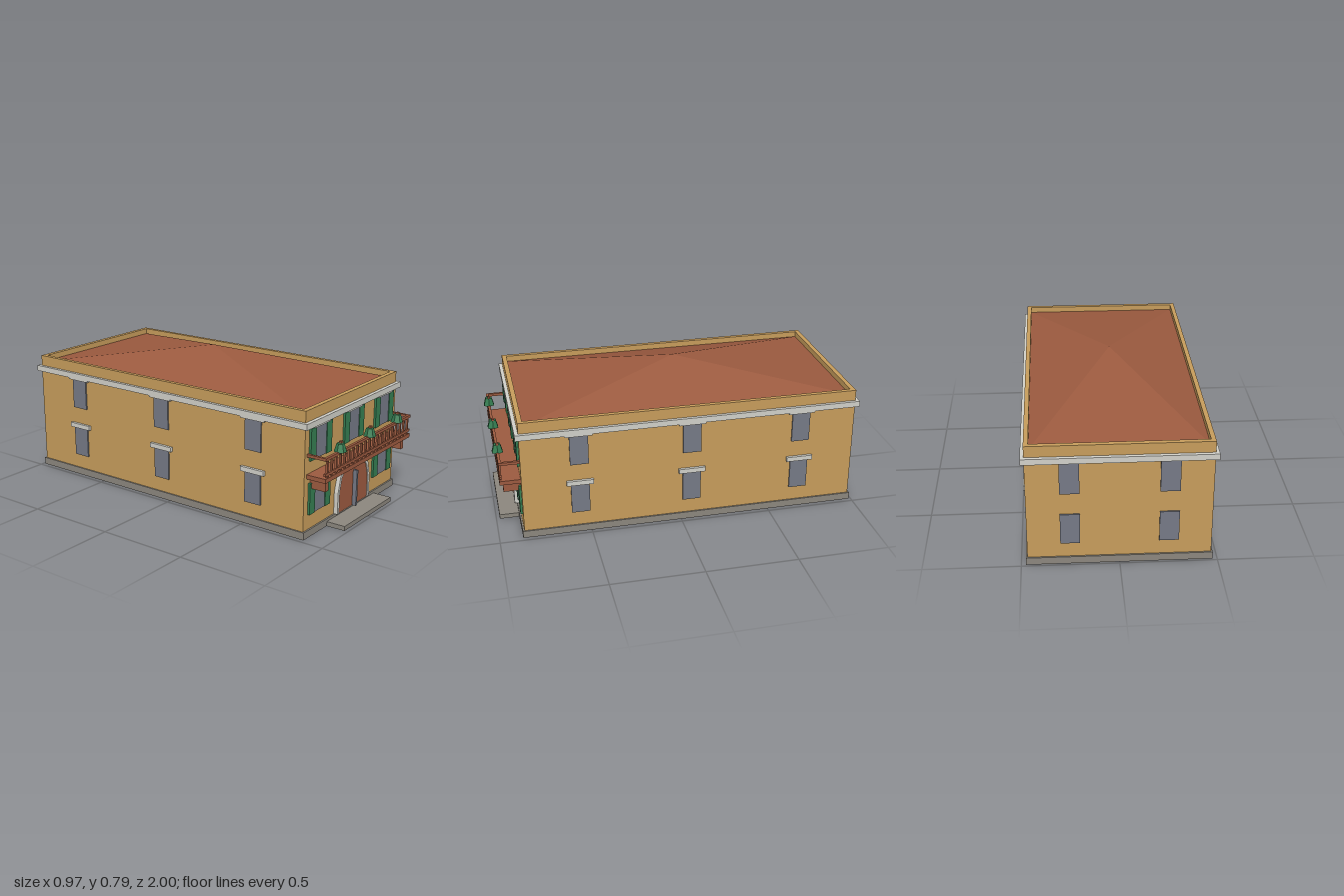
import * as THREE from 'three';

const mat = (name, color) => {
  const m = new THREE.MeshStandardMaterial({ color });
  m.name = name;
  return m;
};

export function createModel() {
  const wall = mat('ochre wall', 0xc69c5b);
  const tile = mat('terracotta', 0x9b5a3f);
  const trim = mat('pale trim', 0xd0cfc8);
  const stone = mat('grey stone', 0x8b867d);
  const glass = mat('grey glass', 0x757985);
  const green = mat('green', 0x357e52);

  const house = new THREE.Group();
  house.name = 'house';
  const MID = -0.0575;            // centre of the main block along z
  const HX = 0.468, HZ = 0.9225;  // half sizes of the main block
  const FRONT = MID + HZ, BACK = MID - HZ;

  const add = (name, geo, material, parent = house) => {
    const mesh = new THREE.Mesh(geo, material);
    mesh.name = name;
    parent.add(mesh);
    return mesh;
  };
  // Box given by its limits on each axis
  const box = (name, m, x0, x1, y0, y1, z0, z1, parent) => {
    const mesh = add(name, new THREE.BoxGeometry(x1 - x0, y1 - y0, z1 - z0), m, parent);
    mesh.position.set((x0 + x1) / 2, (y0 + y1) / 2, (z0 + z1) / 2);
    return mesh;
  };
  // Rectangular ring lying flat around the block
  const rectPath = (P, hx, hz) => {
    const p = new P();
    p.moveTo(-hx, -hz).lineTo(hx, -hz).lineTo(hx, hz).lineTo(-hx, hz).closePath();
    return p;
  };
  const ring = (name, m, hx, hz, ix, iz, y0, y1) => {
    const shape = rectPath(THREE.Shape, hx, hz);
    shape.holes.push(rectPath(THREE.Path, ix, iz));
    const geo = new THREE.ExtrudeGeometry(shape, { depth: y1 - y0, bevelEnabled: false });
    geo.rotateX(-Math.PI / 2).translate(0, y0, MID);
    return add(name, geo, m);
  };

  // Main block, plinth, cornice and parapet
  box('plinth', stone, -HX - 0.008, HX + 0.008, 0, 0.04, BACK - 0.009, FRONT + 0.009);
  box('walls', wall, -HX, HX, 0.04, 0.62, BACK, FRONT);
  ring('cornice', trim, HX + 0.018, HZ + 0.02, HX - 0.01, HZ - 0.01, 0.588, 0.62);
  ring('parapet', wall, HX, HZ, HX - 0.024, HZ - 0.026, 0.62, 0.68);

  // Low four-sided roof inside the parapet
  const roofGeo = new THREE.ConeGeometry(Math.SQRT2, 0.142, 4, 1, true).toNonIndexed();
  roofGeo.rotateY(Math.PI / 4).scale(HX - 0.024, 1, HZ - 0.026);
  roofGeo.translate(0, 0.648 + 0.071, MID);
  roofGeo.computeVertexNormals();
  add('roof', roofGeo, tile);

  // Windows are built facing +z, then turned onto their wall
  const makeWindow = (x, y, z, turn, { shutters = false, lintel = true }) => {
    const g = new THREE.Group();
    g.name = 'window';
    box('pane', glass, -0.05, 0.05, 0, 0.17, -0.004, 0.008, g);
    if (lintel) box('lintel', trim, -0.073, 0.073, 0.168, 0.194, -0.004, 0.016, g);
    if (shutters) {
      for (const s of [-1, 1]) {
        box('shutter', green, s * 0.075 - 0.025, s * 0.075 + 0.025, 0, 0.17, -0.004, 0.012, g);
      }
    }
    g.position.set(x, y, z);
    g.rotation.y = turn;
    house.add(g);
  };
  for (const y of [0.122, 0.411]) {
    for (const x of [-0.329, 0, 0.329]) {
      if (x !== 0 || y > 0.3) makeWindow(x, y, FRONT, 0, { shutters: true });
    }
    for (const z of [0.555, MID, -0.67]) {
      makeWindow(HX, y, z, Math.PI / 2, {});
      makeWindow(-HX, y, z, -Math.PI / 2, {});
    }
    for (const x of [-0.25, 0.25]) makeWindow(x, y, BACK, Math.PI, { lintel: false });
  }

  // Arched doorway with six straight segments
  const arch = (P, r) => {
    const p = new P();
    p.moveTo(-r, 0.04).lineTo(r, 0.04);
    for (let i = 0; i <= 6; i++) {
      const a = (i * Math.PI) / 6;
      p.lineTo(r * Math.cos(a), 0.16 + r * Math.sin(a));
    }
    p.closePath();
    return p;
  };
  const frame = arch(THREE.Shape, 0.168);
  frame.holes.push(arch(THREE.Path, 0.15));
  const extrude = (s, depth) => new THREE.ExtrudeGeometry(s, { depth, bevelEnabled: false });
  add('doorFrame', extrude(frame, 0.025), trim).position.z = FRONT - 0.002;
  add('door', extrude(arch(THREE.Shape, 0.15), 0.02), tile).position.z = FRONT - 0.002;
  box('doorBar', glass, -0.007, 0.007, 0.04, 0.242, FRONT, 0.906);
  box('doorStep', stone, -0.25, 0.25, 0, 0.025, FRONT - 0.01, 0.981);

  // Balcony with railing and brackets
  const balcony = new THREE.Group();
  balcony.name = 'balcony';
  house.add(balcony);
  const BX = 0.448, BZ = 0.976;
  box('balconyFloor', tile, -BX, BX, 0.321, 0.344, FRONT, BZ, balcony);
  box('topRail', tile, -BX, BX, 0.437, 0.452, BZ - 0.015, BZ, balcony);
  box('lowerRail', tile, -BX, BX, 0.356, 0.37, BZ - 0.013, BZ - 0.002, balcony);
  for (let i = 0; i <= 20; i++) {
    const x = -0.424 + i * 0.0424;
    box('baluster', tile, x - 0.0055, x + 0.0055, 0.344, 0.437, BZ - 0.013, BZ - 0.002, balcony);
  }
  for (const s of [-1, 1]) {
    const x = s * (BX - 0.0075);
    box('sideRail', tile, x - 0.0075, x + 0.0075, 0.437, 0.452, FRONT, BZ - 0.015, balcony);
    box('bracket', tile, s * 0.4 - 0.015, s * 0.4 + 0.015, 0.262, 0.322, FRONT, 0.957, balcony);
  }

  // Small six-sided shrubs on the rail
  for (const x of [-0.3, 0, 0.3]) {
    const shrub = add('shrub', new THREE.CylinderGeometry(0.02, 0.033, 0.044, 6).toNonIndexed(), green, balcony);
    shrub.geometry.rotateY(Math.PI / 6);
    shrub.geometry.computeVertexNormals();
    shrub.position.set(x, 0.469, 0.968);
    box('shrubTip', tile, x - 0.002, x + 0.016, 0.485, 0.501, 0.96, 0.974, balcony);
  }
  return house;
}
